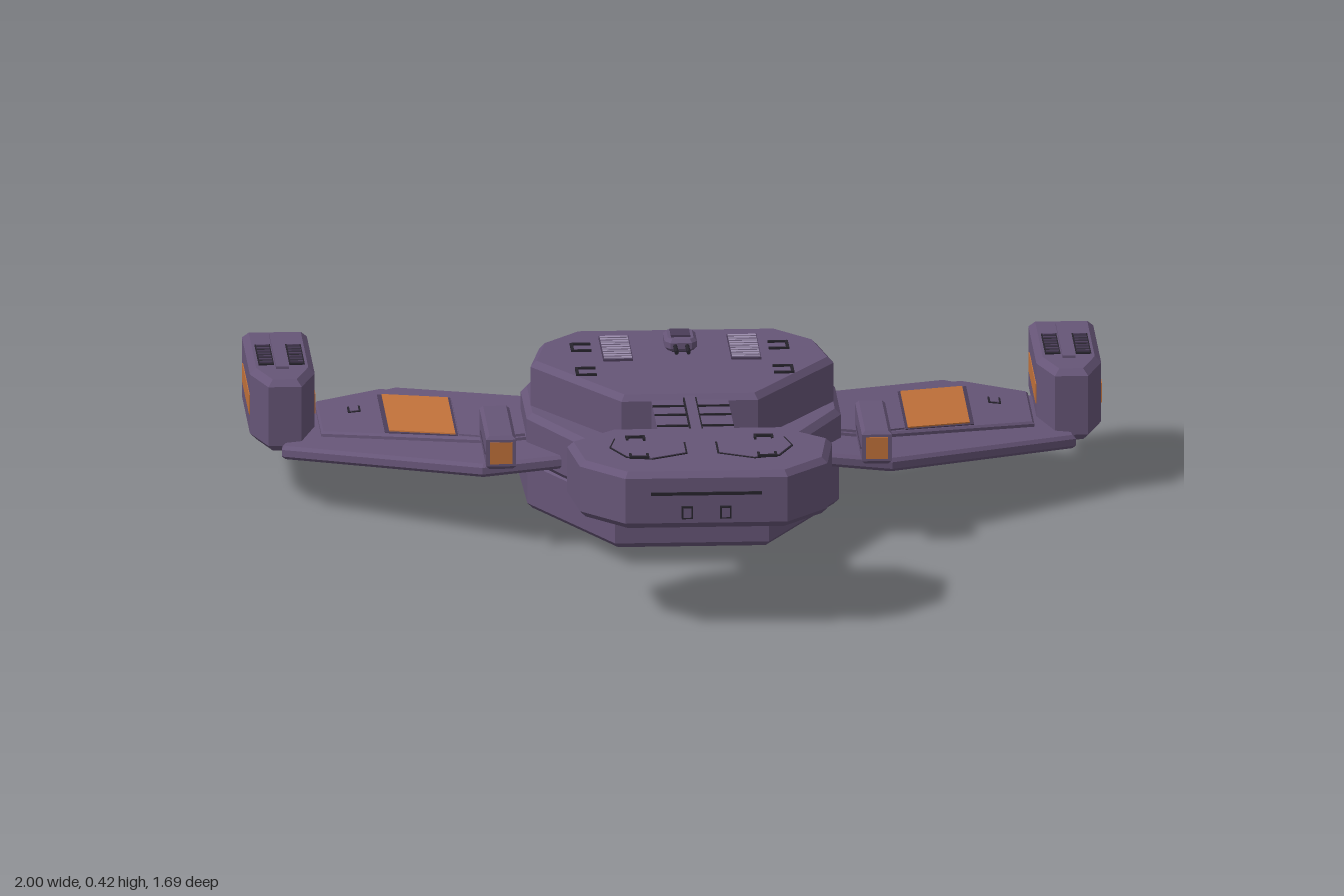
import * as THREE from 'three';
import { mergeGeometries } from 'three/addons/utils/BufferGeometryUtils.js';

const mat = (name, color) => {
  const m = new THREE.MeshStandardMaterial({ color });
  m.name = name;
  return m;
};

export function createModel() {
  const hull = mat('purple hull', 0x665577);
  const trim = mat('dark purple trim', 0x4a3d58);
  const dark = mat('near black', 0x26232c);
  const orange = mat('orange panel', 0xc0713a);
  const glow = mat('engine orange', 0xbb5a2a);
  const pale = mat('pale lilac', 0x9a8cab);
  const model = new THREE.Group();
  model.name = 'ship';

  const add = (name, geo, material, parent = model) => {
    const mesh = new THREE.Mesh(geo, material);
    mesh.name = name;
    parent.add(mesh);
    return mesh;
  };
  const boxGeo = (w, h, d, x, y, z) => new THREE.BoxGeometry(w, h, d).translate(x, y, z);
  const box = (name, w, h, d, x, y, z, m, parent) => add(name, boxGeo(w, h, d, x, y, z), m, parent);

  // Horizontal slab from an [x, z] outline, with bevelled edges
  const slabGeo = (pts, y0, y1, b = 0) => {
    const inset = b > 0;
    const g = new THREE.ExtrudeGeometry(new THREE.Shape(pts.map(p => new THREE.Vector2(p[0], p[1]))), {
      depth: y1 - y0 - 2 * b, bevelEnabled: inset, bevelThickness: b, bevelSize: b, bevelOffset: -b, bevelSegments: 1,
    });
    return g.rotateX(Math.PI / 2).translate(0, y1 - b, 0);
  };
  const mirrored = half => [...half, ...half.map(([x, z]) => [-x, z]).reverse()];
  const flip = (pts, s) => pts.map(([x, z]) => [x * s, z]);
  // Droop a wing part towards the tip
  const droop = g => {
    const p = g.attributes.position;
    for (let i = 0; i < p.count; i++) p.setY(i, p.getY(i) - 0.1 * (Math.abs(p.getX(i)) - 0.37));
    g.computeVertexNormals();
    return g;
  };

  // Stacked hull tiers
  add('lowerHull', slabGeo(mirrored([[0.18, 0.21], [0.365, -0.17], [0.37, -0.45], [0.34, -0.83]]), 0.04, 0.16, 0.012), hull);
  add('middleHull', slabGeo(mirrored([[0.18, 0.26], [0.368, -0.15], [0.368, -0.4], [0.28, -0.675]]), 0.155, 0.275, 0.014), hull);
  add('upperDeck', slabGeo(mirrored([[0.16, 0.11], [0.355, -0.22], [0.325, -0.39], [0.235, -0.5]]), 0.26, 0.382, 0.014), hull);

  // Neck with spine and cross ribs
  box('neck', 0.18, 0.11, 0.4, 0, 0.315, 0.26, hull);
  box('neckSpine', 0.024, 0.01, 0.32, 0, 0.373, 0.26, hull);
  for (const x of [-0.014, 0.014]) box('spineLine', 0.004, 0.007, 0.32, x, 0.3715, 0.26, dark);
  for (const z of [0.17, 0.25, 0.35]) box('neckRib', 0.18, 0.005, 0.006, 0, 0.3715, z, dark);

  // Head module
  add('head', slabGeo(mirrored([[0.2, 0.415], [0.31, 0.53], [0.29, 0.71], [0.19, 0.83]]), 0.25, 0.386, 0.014), hull);
  box('headSlot', 0.26, 0.007, 0.008, 0, 0.335, 0.831, dark);
  for (const s of [-1, 1]) {
    const panel = [[0.035, 0.56], [0.1, 0.565], [0.2, 0.52], [0.215, 0.6], [0.18, 0.69], [0.12, 0.71], [0.035, 0.66]];
    const inner = panel.map(([x, z]) => [0.125 + (x - 0.125) * 0.95, 0.615 + (z - 0.615) * 0.95]);
    add('headPanelEdge', slabGeo(flip(panel, s), 0.384, 0.388), dark);
    add('headPanel', slabGeo(flip(inner, s), 0.384, 0.3895), hull);
    for (const z of [0.515, 0.7]) {
      box('headBracket', 0.045, 0.006, 0.008, s * 0.15, 0.39, z, dark);
      for (const x of [0.13, 0.17]) box('headBracketArm', 0.006, 0.006, 0.03, s * x, 0.39, z + (z < 0.6 ? 0.012 : -0.012), dark);
    }
    box('headPortFrame', 0.026, 0.03, 0.012, s * 0.045, 0.29, 0.832, dark);
    box('headPort', 0.018, 0.022, 0.014, s * 0.045, 0.29, 0.833, hull);
  }

  // Deck vents and brackets
  for (const s of [-1, 1]) {
    box('deckVent', 0.07, 0.006, 0.215, s * 0.15, 0.384, -0.315, trim);
    for (let i = 0; i < 10; i++) box('ventSlat', 0.066, 0.008, 0.011, s * 0.15, 0.385, -0.41 + i * 0.021, pale);
    for (const z of [-0.33, -0.11]) {
      box('deckBracket', 0.007, 0.006, 0.065, s * 0.252, 0.384, z, dark);
      for (const e of [-1, 1]) box('deckBracketArm', 0.045, 0.006, 0.007, s * 0.23, 0.384, z + e * 0.03, dark);
    }
  }

  // Twin-barrel turrets above and below
  const turret = (name, y, z, dir) => {
    const g = new THREE.Group();
    g.name = name;
    g.position.set(0, y, z);
    model.add(g);
    add('turretBody', slabGeo(mirrored([[0.025, 0.055], [0.038, 0.035], [0.038, -0.04], [0.025, -0.055]]), -0.015, 0.015, 0.008), hull, g);
    box('turretCap', 0.045, 0.008, 0.06, 0, dir * 0.016, 0, trim, g);
    box('turretMount', 0.04, 0.015, 0.05, 0, -dir * 0.018, 0, dark, g);
    for (const x of [-0.014, 0.014]) add('barrel', new THREE.CylinderGeometry(0.005, 0.005, 0.07, 8).rotateX(Math.PI / 2).translate(x, 0, 0.08), dark, g);
  };
  turret('dorsalTurret', 0.404, -0.31, 1);
  turret('ventralTurret', 0.02, -0.1, -1);

  // Channel along the stern tiers
  for (const [y, z, len] of [[0.276, -0.582, 0.16], [0.161, -0.745, 0.13]]) {
    box('sternChannel', 0.038, 0.006, len, 0, y, z, dark);
    box('sternRail', 0.008, 0.01, len, 0, y, z, trim);
  }

  // Stern plate with rows of small windows
  box('sternPlate', 0.6, 0.075, 0.008, 0, 0.1, -0.831, trim);
  const windows = [];
  for (let r = 0; r < 4; r++)
    for (let c = 0; c < 36; c++) windows.push(boxGeo(0.008, 0.008, 0.003, (c - 17.5) * 0.016, 0.076 + r * 0.016, -0.836));
  add('sternWindows', mergeGeometries(windows), pale);

  for (const s of [-1, 1]) {
    const side = new THREE.Group();
    side.name = s > 0 ? 'leftWing' : 'rightWing';
    model.add(side);
    const wingSlab = (name, pts, y0, y1, b, m) => add(name, droop(slabGeo(flip(pts, s), y0, y1, b)), m, side);

    // Wing and raised panels
    wingSlab('wing', [[0.25, 0.01], [0.48, 0.01], [0.93, -0.35], [0.9, -0.68], [0.84, -0.695], [0.64, -0.775], [0.25, -0.5]], 0.173, 0.205, 0.008, hull);
    wingSlab('wingPlate', [[0.34, -0.17], [0.45, -0.17], [0.835, -0.4], [0.835, -0.68], [0.68, -0.73], [0.34, -0.5]], 0.2, 0.217, 0.005, hull);
    wingSlab('wingRootPanel', [[0.37, -0.17], [0.44, -0.17], [0.522, -0.23], [0.522, -0.56], [0.37, -0.47]], 0.215, 0.221, 0, hull);
    wingSlab('wingPanelFrame', [[0.524, -0.225], [0.69, -0.325], [0.69, -0.672], [0.524, -0.57]], 0.215, 0.219, 0, trim);
    wingSlab('wingOrangePanel', [[0.53, -0.235], [0.68, -0.33], [0.68, -0.66], [0.53, -0.565]], 0.215, 0.222, 0, orange);
    wingSlab('wingHatchFrame', [[0.735, -0.54], [0.765, -0.54], [0.765, -0.59], [0.735, -0.59]], 0.215, 0.219, 0, dark);
    wingSlab('wingHatch', [[0.74, -0.545], [0.76, -0.545], [0.76, -0.585], [0.74, -0.585]], 0.215, 0.221, 0, hull);

    // Wing cannon
    add('cannon', slabGeo(flip([[0.405, -0.21], [0.475, -0.21], [0.475, 0.08], [0.405, 0.08]], s), 0.2, 0.28, 0.008), hull, side);
    box('cannonMuzzle', 0.052, 0.052, 0.006, s * 0.44, 0.24, 0.08, orange, side);
    box('cannonSeam', 0.073, 0.005, 0.2, s * 0.44, 0.232, -0.05, trim, side);

    // Wingtip engine pod
    const pod = [[0.845, -0.84], [0.997, -0.84], [0.997, -0.5], [0.96, -0.38], [0.882, -0.38], [0.845, -0.5]];
    add('enginePod', slabGeo(flip(pod, s), 0.128, 0.3, 0.015), hull, side);
    box('podExhaustFrame', 0.125, 0.145, 0.008, s * 0.921, 0.214, -0.84, trim, side);
    box('podExhaust', 0.112, 0.13, 0.009, s * 0.921, 0.214, -0.842, glow, side);
    for (const x of [0.846, 0.996]) box('podSideStrip', 0.006, 0.047, 0.29, s * x, 0.212, -0.645, orange, side);
    for (const x of [0.885, 0.957]) {
      box('podVent', 0.036, 0.006, 0.18, s * x, 0.3, -0.615, dark, side);
      for (let i = 0; i < 7; i++) box('podVentRung', 0.03, 0.008, 0.008, s * x, 0.302, -0.69 + i * 0.025, trim, side);
    }
    box('podSpine', 0.03, 0.008, 0.3, s * 0.921, 0.302, -0.64, hull, side);
  }
  return model;
}
